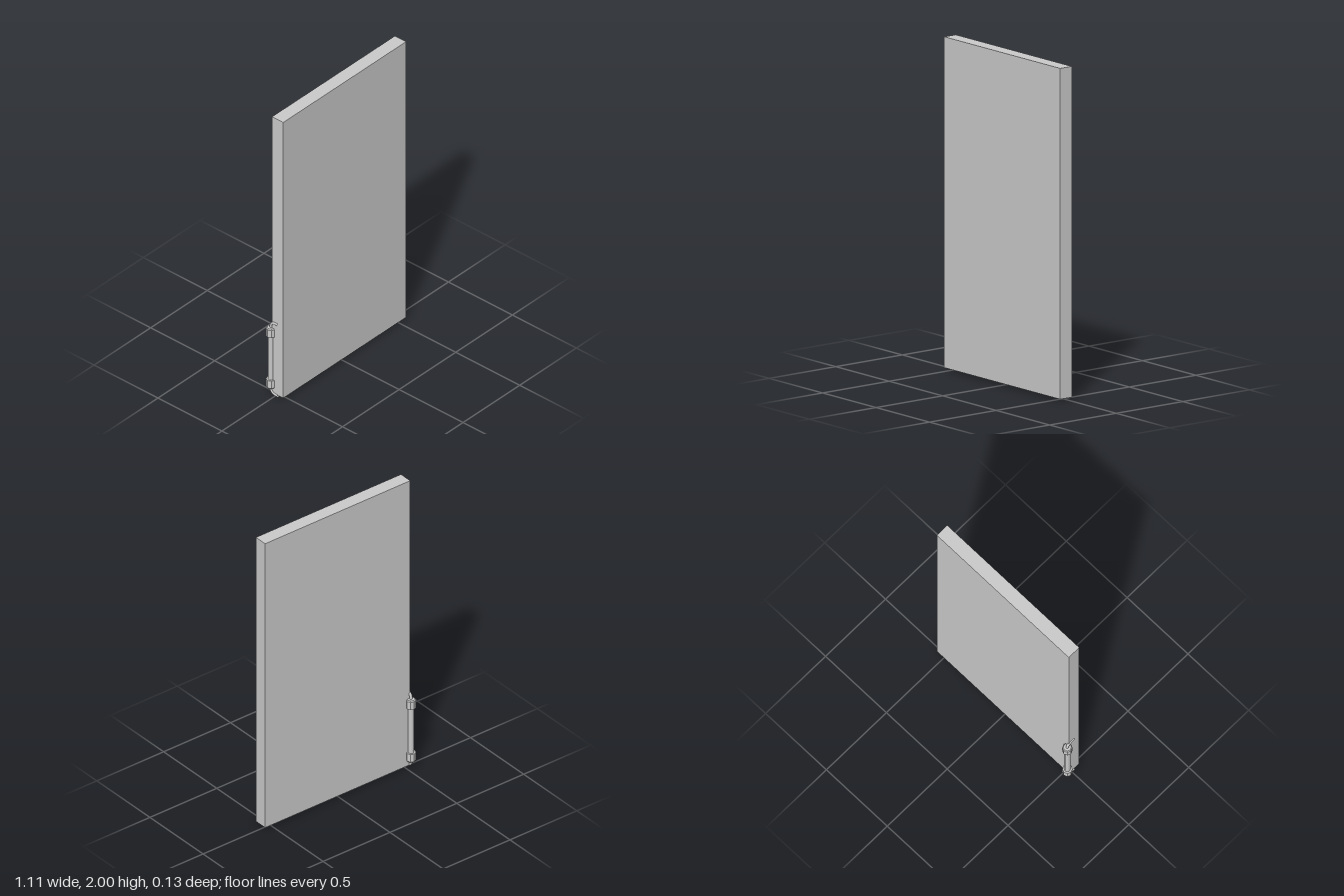
import * as THREE from 'three';

const HANDLE_X = -0.528, HANDLE_Z = -0.034;

export function createModel() {
  const group = new THREE.Group();
  const material = new THREE.MeshStandardMaterial({ color: 0xcccccc });
  const add = (name, geometry, x, y, z, mat = material) => {
    const mesh = new THREE.Mesh(geometry, mat);
    mesh.name = name;
    mesh.position.set(x, y, z);
    group.add(mesh);
    return mesh;
  };

  // Flat door slab
  add('doorPanel', new THREE.BoxGeometry(1.085, 1.985, 0.087), 0.0125, 1.0075, 0.0195);

  // Upright grip bar on the rear corner
  add('handleBar', new THREE.CylinderGeometry(0.019, 0.019, 0.33, 8), HANDLE_X, 0.265, HANDLE_Z);

  // Faceted collar, with a slight bevel towards its outer end
  const collar = new THREE.LatheGeometry(
    [[0, -0.029], [0.03, -0.029], [0.03, 0.024], [0.024, 0.031], [0, 0.031]]
      .map(([r, y]) => new THREE.Vector2(r, y)), 8);
  const collarMaterial = material.clone();
  collarMaterial.flatShading = true;

  // Thin rod curving from the collar onto the side edge of the panel
  const rod = new THREE.TubeGeometry(new THREE.CatmullRomCurve3([
    new THREE.Vector3(0, 0, 0),
    new THREE.Vector3(0, 0.02, 0.002),
    new THREE.Vector3(0, 0.036, 0.015),
    new THREE.Vector3(0, 0.042, 0.032),
    new THREE.Vector3(0, 0.043, 0.055),
  ]), 12, 0.009, 8);
  const rodMaterial = material.clone();
  rodMaterial.side = THREE.DoubleSide;

  // The lower collar and rod are turned over, keeping the rod towards the panel
  for (const [label, sign, y] of [['upper', 1, 0.45], ['lower', -1, 0.081]]) {
    const cap = add(label + 'Collar', collar, HANDLE_X, y, HANDLE_Z, collarMaterial);
    if (sign < 0) cap.rotation.x = Math.PI;
    const bend = add(label + 'Rod', rod, HANDLE_X, y + sign * 0.029, HANDLE_Z, rodMaterial);
    bend.scale.y = sign;
  }
  return group;
}
